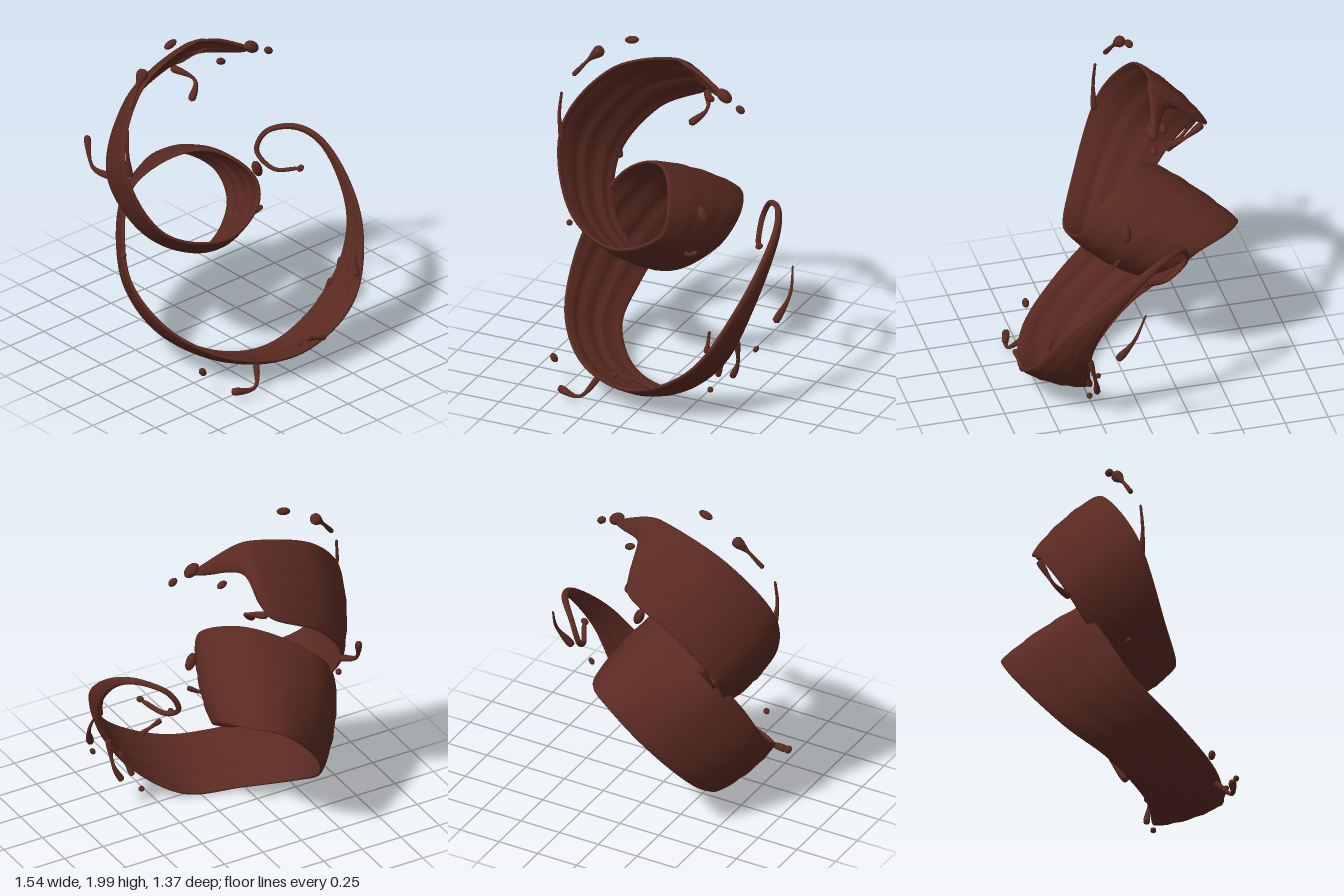
import * as THREE from 'three';

const vec = ([x, y, z]) => new THREE.Vector3(x, y, z);

// Front edge of the ribbon, from the top tip through the small loop to the end curl
const frontEdge = [
  [.26, 1.74, -.11], [.05, 1.85, -.15], [-.03, 1.875, -.16], [-.1, 1.885, -.18], [-.5, 1.74, -.18],
  [-.75, 1.38, -.05], [-.61, .96, .13], [-.27, .86, .27], [0, .98, .23], [.02, 1.12, .17],
  [-.1, 1.235, -.04], [-.27, 1.2, -.19], [-.5, 1.03, -.29], [-.63, .8, -.2], [-.68, .57, -.07],
  [-.6, .34, .21], [-.35, .2, .48], [0, .18, .61],
  [.37, .38, .62], [.585, .75, .43], [.635, 1.06, .08], [.57, 1.13, -.1],
  [.45, 1.08, -.23], [.395, .97, -.25], [.425, .89, -.14], [.5, .925, 0],
];

// Back edge at the same stations
const backEdge = [
  [.22, 1.72, -.13], [0, 1.74, -.27], [-.02, 1.62, -.42], [-.05, 1.56, -.5], [-.36, 1.38, -.52],
  [-.56, 1.08, -.41], [-.46, .77, -.2], [-.12, .6, -.1], [.14, .74, -.2], [.2, .87, -.38],
  [.12, .92, -.59], [-.02, .89, -.68], [-.2, .72, -.66], [-.35, .5, -.54], [-.42, .32, -.38],
  [-.42, .17, -.16], [-.21, .045, .1], [.1, .035, .22],
  [.43, .3, .31], [.61, .68, .29], [.645, 1.03, .03], [.58, 1.1, -.12],
  [.47, 1.065, -.245], [.42, .957, -.262], [.447, .877, -.152], [.522, .912, -.012],
];

// Thick sheet lofted between the two edges, with flow grooves on its inner side
function ribbonGeometry() {
  const front = new THREE.CatmullRomCurve3(frontEdge.map(vec));
  const back = new THREE.CatmullRomCurve3(backEdge.map(vec));
  const rows = (frontEdge.length - 1) * 12, sides = 48;
  const positions = [], index = [];
  const middle = t => front.getPoint(t).add(back.getPoint(t)).multiplyScalar(.5);
  for (let i = 0; i <= rows; i++) {
    const t = i / rows;
    const centre = middle(t);
    const across = back.getPoint(t).sub(front.getPoint(t));
    const along = middle(Math.min(1, t + .002)).sub(middle(Math.max(0, t - .002)));
    const outward = across.clone().cross(along).normalize();
    const broad = Math.min(1, across.length() / .4);
    const thick = .017 - .006 * THREE.MathUtils.smoothstep(t, .8, 1);
    const end = Math.min(1, Math.min(i, rows - i) / 4);
    const taper = Math.sqrt(1 - (1 - end) ** 2);
    for (let j = 0; j < sides; j++) {
      const a = j / sides * Math.PI * 2, u = Math.cos(a), s = Math.sin(a);
      const ridge = Math.sin(u * 11 + Math.sin(t * 23) * 1.3) + .5 * Math.sin(u * 19 + t * 31);
      const depth = Math.sign(s) * Math.sqrt(Math.abs(s)) * thick
        + broad * (1 - u * u) * (.02 + ridge * (s < 0 ? .007 : .0025));
      const p = centre.clone().addScaledVector(across, u * .5 * taper).addScaledVector(outward, depth * taper);
      positions.push(p.x, p.y, p.z);
      if (i < rows) {
        const k = i * sides, n = (j + 1) % sides;
        index.push(k + j, k + sides + j, k + n, k + n, k + sides + j, k + sides + n);
      }
    }
  }
  const g = new THREE.BufferGeometry();
  g.setAttribute('position', new THREE.Float32BufferAttribute(positions, 3));
  g.setIndex(index);
  g.computeVertexNormals();
  return g;
}

// Round-ended strand, thin in the middle and swelling to a radius at each end
function strandGeometry(startRadius, endRadius, points) {
  const curve = new THREE.CatmullRomCurve3(points.map(vec));
  const length = curve.getLength(), rows = 28, sides = 12;
  const g = new THREE.TubeGeometry(curve, rows, 1, sides);
  const pos = g.attributes.position, p = new THREE.Vector3();
  const waist = Math.min(.01, startRadius + endRadius);
  for (let i = 0; i <= rows; i++) {
    const t = i / rows;
    const r = THREE.MathUtils.lerp(waist, t < .5 ? startRadius : endRadius,
      THREE.MathUtils.smoothstep(Math.abs(t - .5), 0, .4));
    const d = Math.min(1, Math.min(t, 1 - t) * length / r);
    const radius = Math.max(.0005, r * Math.sqrt(1 - (1 - d) ** 2));
    const centre = curve.getPointAt(t);
    for (let j = 0; j <= sides; j++) {
      const n = i * (sides + 1) + j;
      p.fromBufferAttribute(pos, n).sub(centre).multiplyScalar(radius).add(centre);
      pos.setXYZ(n, p.x, p.y, p.z);
    }
  }
  g.computeVertexNormals();
  return g;
}

export function createModel() {
  const group = new THREE.Group();
  group.name = 'chocolateSwirl';
  const chocolate = new THREE.MeshStandardMaterial({ color: 0x5a2a21 });
  chocolate.name = 'chocolate';
  const add = (name, geometry) => {
    const mesh = new THREE.Mesh(geometry, chocolate);
    mesh.name = name;
    group.add(mesh);
    return mesh;
  };
  const strand = (name, r0, r1, ...points) => add(name, strandGeometry(r0, r1, points));
  // Loose drop, stretched and tilted in the front plane
  const drop = (name, r, stretch, tilt, x, y, z) => {
    const mesh = add(name, new THREE.SphereGeometry(r, 16, 12));
    mesh.scale.x = stretch;
    mesh.rotation.z = tilt;
    mesh.position.set(x, y, z);
  };

  add('swirlRibbon', ribbonGeometry());

  // Splashes joined to the ribbon
  strand('topHook', .022, .022, [-.04, 1.57, -.48], [.02, 1.52, -.34], [-.06, 1.44, -.28]);
  strand('leftSpike', .018, .008, [-.73, 1.3, -.03], [-.75, 1.46, -.03], [-.74, 1.61, -.04]);
  strand('backSpike', .02, .02, [-.55, 1.08, -.4], [-.6, 1.12, -.5], [-.57, 1.28, -.59]);
  strand('lowerLeftSplash', .018, .022, [-.25, .16, .5], [-.33, .06, .58], [-.48, .07, .55]);
  strand('frontFinger', .016, .016, [.16, .22, .62], [.01, .27, .63]);
  strand('lowerDrip', .018, .017, [.46, .37, .33], [.39, .21, .29]);
  strand('rightDrip', .018, .019, [.53, .48, .33], [.515, .31, .29], [.47, .21, .27]);
  strand('rightSpike', .018, .009, [.45, .48, .56], [.455, .61, .53]);
  strand('loopHook', .018, .015, [.06, .85, -.02], [.08, .8, .05], [.16, .84, .08]);

  // Drawn-out flying drips
  strand('topLeftDrip', .034, .014, [-.53, 1.88, -.14], [-.6, 1.81, -.115], [-.69, 1.7, -.08]);
  strand('farRightDrip', .006, .022, [.75, .88, .06], [.765, .73, .13], [.71, .575, .215]);

  // Drops
  drop('tipDrop', .034, 1.5, -.6, .24, 1.755, -.11);
  drop('highDrop', .022, 2, .25, -.345, 1.975, -.13);
  drop('topRightDrop', .021, 1.4, -.6, .35, 1.7, -.09);
  drop('innerDrop', .02, 1.6, -.4, .1, 1.67, -.21);
  drop('loopDrop', .028, 2, -1.2, .17, 1.05, .02);
  drop('leftDrop', .018, 1, 0, -.72, .765, -.1);
  drop('lowerLeftDrop', .02, 1.4, -1, -.572, .175, .41);
  drop('frontDrop', .017, 1, 0, -.07, .285, .665);
  drop('lowDrop', .017, 1, 0, .34, .11, .28);
  drop('rightDrop', .015, 1.5, 1, .64, .44, .31);
  drop('curlDrop', .018, 1.3, .5, .51, .92, 0);
  return group;
}
